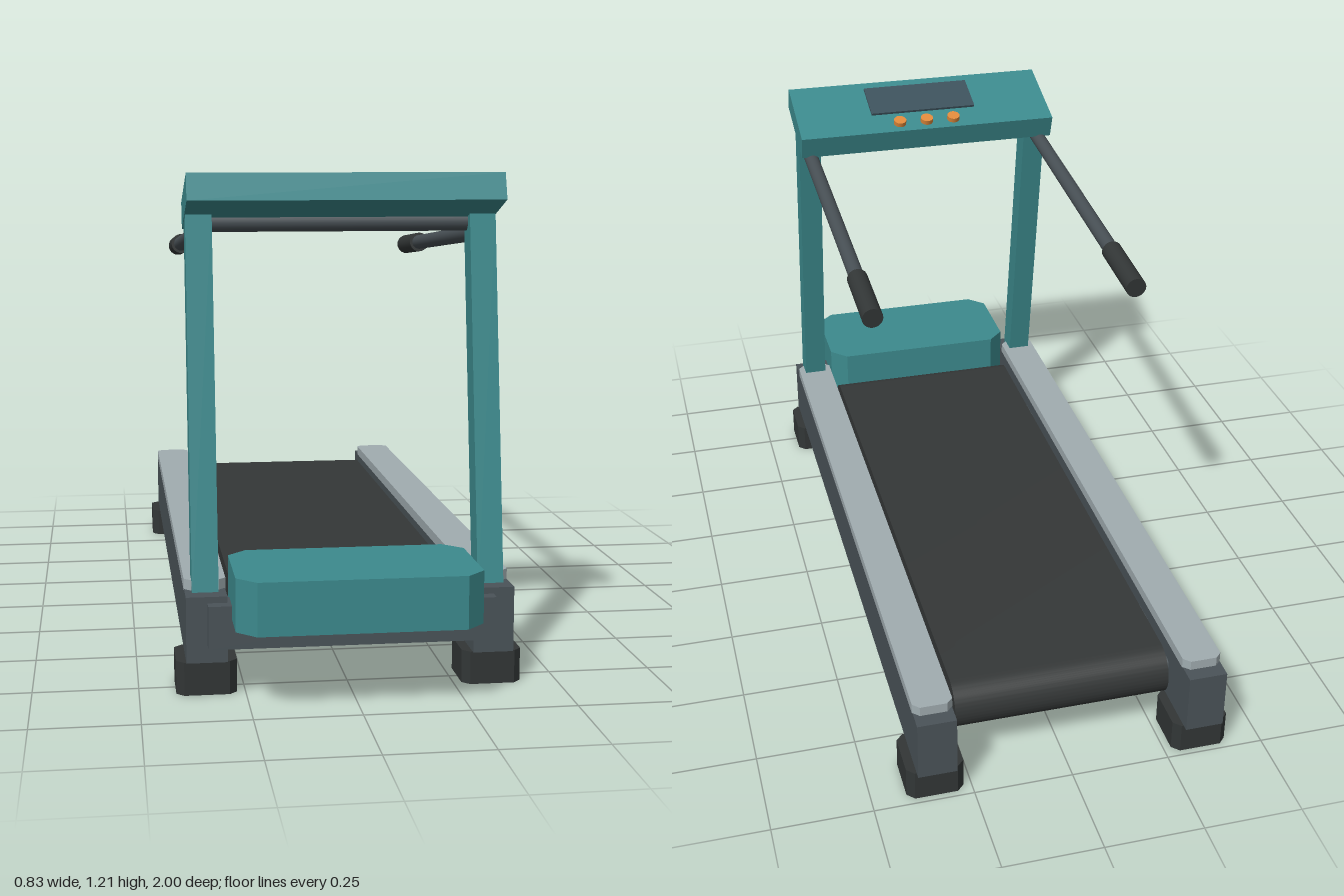
import * as THREE from 'three';
import { toCreasedNormals } from 'three/addons/utils/BufferGeometryUtils.js';

const material = (color) => new THREE.MeshStandardMaterial({ color });

export function createModel() {
  const model = new THREE.Group();
  model.name = 'treadmill';
  const teal = material(0x3c8a8d), steel = material(0x4a5358), cap = material(0xa0acb0);
  const rubber = material(0x323636), belt = material(0x343737), bar = material(0x474f54);
  const glass = material(0x3d525c), orange = material(0xe08a3c);

  const add = (name, geometry, mat, parent = model) => {
    const mesh = new THREE.Mesh(geometry, mat);
    mesh.name = name;
    parent.add(mesh);
    return mesh;
  };

  // Box given by its limits on each axis
  const box = (name, mat, [x0, x1], [y0, y1], [z0, z1]) => {
    const mesh = add(name, new THREE.BoxGeometry(x1 - x0, y1 - y0, z1 - z0), mat);
    mesh.position.set((x0 + x1) / 2, (y0 + y1) / 2, (z0 + z1) / 2);
    return mesh;
  };

  // Block whose four upright edges are chamfered by c
  const block = (name, mat, [x0, x1], [y0, y1], [z0, z1], c) => {
    const a = (x1 - x0) / 2, b = (z1 - z0) / 2;
    const plan = [[a, c - b], [a, b - c], [a - c, b], [c - a, b], [-a, b - c], [-a, c - b], [c - a, -b], [a - c, -b]];
    const shape = new THREE.Shape(plan.map(([x, y]) => new THREE.Vector2(x, y)));
    const geometry = new THREE.ExtrudeGeometry(shape, { depth: y1 - y0, bevelEnabled: false });
    geometry.rotateX(-Math.PI / 2);
    const mesh = add(name, geometry, mat);
    mesh.position.set((x0 + x1) / 2, y0, (z0 + z1) / 2);
    return mesh;
  };

  // Round rod between two points
  const rod = (name, mat, from, to, radius) => {
    const a = new THREE.Vector3(...from), b = new THREE.Vector3(...to);
    const mesh = add(name, new THREE.CylinderGeometry(radius, radius, a.distanceTo(b), 24), mat);
    mesh.position.copy(a).add(b).multiplyScalar(0.5);
    mesh.quaternion.setFromUnitVectors(new THREE.Vector3(0, 1, 0), b.sub(a).normalize());
    return mesh;
  };

  // Running belt: a loop with round ends
  const r = 0.067, mid = 0.168, front = 0.64, rear = -0.842;
  const loop = new THREE.Shape();
  loop.absarc(front, mid, r, -Math.PI / 2, Math.PI / 2, false);
  loop.absarc(rear, mid, r, Math.PI / 2, Math.PI * 1.5, false);
  loop.closePath();
  const beltGeometry = new THREE.ExtrudeGeometry(loop, { depth: 0.55, bevelEnabled: false, curveSegments: 20 });
  beltGeometry.translate(0, 0, -0.275).rotateY(-Math.PI / 2);
  add('runningBelt', toCreasedNormals(beltGeometry, 0.6), belt);

  // Frame members across the deck, and roller axles
  box('frontCrossMember', steel, [-0.34, 0.34], [0.12, 0.223], [0.775, 0.857]);
  for (const z of [0.41, -0.667]) box('deckCrossMember', steel, [-0.3, 0.3], [0.135, 0.2], [z - 0.033, z + 0.033]);
  for (const z of [front, rear]) rod('rollerAxle', steel, [-0.3, mid, z], [0.3, mid, z], 0.02);

  // Motor hood
  block('motorHood', teal, [-0.285, 0.285], [0.19, 0.315], [0.695, 1], 0.045);

  // Parts on both sides
  for (const s of [1, -1]) {
    const span = (a, b) => (s > 0 ? [a, b] : [-b, -a]);
    box('sideRail', steel, span(0.293, 0.39), [0.08, 0.238], [-1, 0.825]);
    block('footRail', cap, span(0.292, 0.391), [0.236, 0.263], [-0.963, 0.762], 0.016);
    for (const z of [0.746, -0.912]) block('foot', rubber, span(0.27, 0.413), [0, 0.08], [z - 0.072, z + 0.072], 0.018);

    // Upright: a box sheared back towards the top
    const post = new THREE.BoxGeometry(0.063, 0.92, 0.066);
    const p = post.attributes.position;
    for (let i = 0; i < p.count; i++) p.setZ(i, p.getZ(i) - p.getY(i) * 0.157);
    post.computeVertexNormals();
    add('upright', post, teal).position.set(s * 0.342, 0.67, 0.683);

    // Handlebar and its grip
    const x = s * 0.344;
    const at = (z) => [x, 1.068 - (0.6 - z) * 0.084, z];
    rod('handlebar', bar, at(0.61), at(-0.34), 0.02);
    rod('handGrip', rubber, at(-0.15), at(-0.35), 0.027);
  }
  rod('uprightCrossBar', bar, [-0.32, 1.094, 0.605], [0.32, 1.094, 0.605], 0.022);

  // Tilted console with screen and buttons
  const consoleGroup = new THREE.Group();
  consoleGroup.name = 'console';
  consoleGroup.position.set(0, 1.145, 0.631);
  consoleGroup.rotation.x = -0.32;
  model.add(consoleGroup);
  add('consoleBody', new THREE.BoxGeometry(0.75, 0.067, 0.237), teal, consoleGroup);
  add('screen', new THREE.BoxGeometry(0.31, 0.01, 0.122), glass, consoleGroup).position.set(0, 0.035, 0.025);
  for (const x of [-0.08, 0, 0.08]) {
    add('button', new THREE.CylinderGeometry(0.018, 0.018, 0.018, 20), orange, consoleGroup).position.set(x, 0.038, -0.083);
  }
  return model;
}
